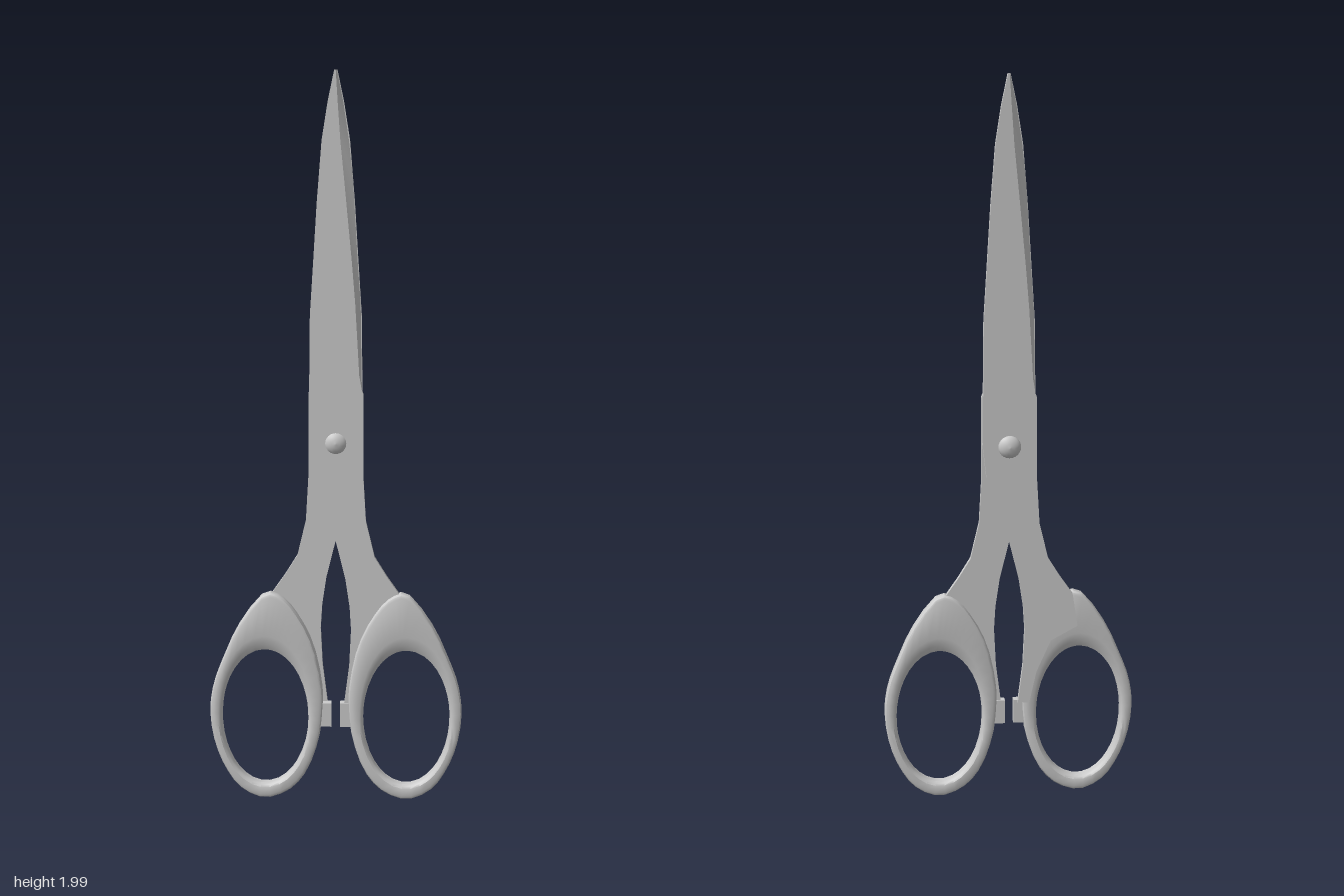
import * as THREE from 'three';
import { toCreasedNormals } from 'three/addons/utils/BufferGeometryUtils.js';

const material = new THREE.MeshStandardMaterial({ color: 0xcccccc });
const THICK = 0.016;

// Skin through rows of points; each row is a closed cross-section.
function loft(rows, closed) {
  const m = rows[0].length, n = rows.length, index = [];
  for (let i = 0; i < (closed ? n : n - 1); i++) {
    for (let j = 0; j < m; j++) {
      const a = i * m + j, b = ((i + 1) % n) * m + j;
      const c = ((i + 1) % n) * m + (j + 1) % m, d = i * m + (j + 1) % m;
      index.push(a, b, c, a, c, d);
    }
  }
  const geo = new THREE.BufferGeometry();
  geo.setAttribute('position', new THREE.Float32BufferAttribute(rows.flat(2), 3));
  geo.setIndex(index);
  return toCreasedNormals(geo, 0.6);
}

function part(name, geo) {
  const mesh = new THREE.Mesh(geo, material);
  mesh.name = name;
  return mesh;
}

// Ground edge of the blade: height, start of bevel, cutting edge
const EDGE = [
  [1.16, 0.07, 0.07], [1.2, 0.063, 0.069], [1.39, 0.052, 0.066], [1.5, 0.043, 0.058],
  [1.72, 0.022, 0.045], [1.82, 0.012, 0.034], [1.92, 0.005, 0.019], [2, 0, 0.003],
];

// Flat blade and shank in one plate, with the bevel added along its edge
function makeBlade() {
  const group = new THREE.Group();
  group.name = 'blade';
  const spine = [
    [-0.004, 2], [-0.021, 1.92], [-0.037, 1.82], [-0.05, 1.66], [-0.06, 1.5], [-0.069, 1.36],
    [-0.073, 1.02], [-0.063, 0.93], [-0.042, 0.855], [0, 0.745],
  ];
  const shank = [
    [0.026, 0.64], [0.038, 0.56], [0.042, 0.495], [0.037, 0.39], [0.023, 0.28], [0.055, 0.28],
    [0.075, 0.37], [0.115, 0.46], [0.19, 0.5], [0.175, 0.595], [0.14, 0.645],
    [0.106, 0.7], [0.082, 0.8], [0.075, 0.92], [0.074, 1.15],
  ];
  const outline = [...spine, ...shank, ...EDGE.map(([y, xb]) => [xb, y])];
  const shape = new THREE.Shape(outline.map(([x, y]) => new THREE.Vector2(x, y)));
  group.add(part('bladePlate', new THREE.ExtrudeGeometry(shape, { depth: THICK, bevelEnabled: false })));
  const rows = EDGE.map(([y, xb, xr]) => [[xr, y, 0.003], [xb, y, THICK], [xb, y, 0], [xr, y, 0]]);
  group.add(part('cuttingEdge', loft(rows, false)));
  return group;
}

// Finger ring: rounded band between an outer outline and an oval hole
function makeHandle() {
  const group = new THREE.Group();
  group.name = 'handle';
  const outer = new THREE.CatmullRomCurve3([
    [0.349, 0.257], [0.339, 0.336], [0.31, 0.415], [0.265, 0.51], [0.19, 0.598], [0.148, 0.585],
    [0.106, 0.537], [0.063, 0.452], [0.038, 0.336], [0.036, 0.27], [0.048, 0.177], [0.085, 0.08],
    [0.132, 0.029], [0.2, 0.006], [0.265, 0.035], [0.306, 0.09], [0.336, 0.165],
  ].map(([x, y]) => new THREE.Vector3(x, y, 0)), true);
  const cx = 0.196, cy = 0.243, rx = 0.12, ry = 0.194, h = 0.0205;
  const rows = outer.getPoints(40).slice(0, 40).map((p) => {
    const a = Math.atan2((p.y - cy) / ry, (p.x - cx) / rx);
    const ix = cx + rx * Math.cos(a), iy = cy + ry * Math.sin(a);
    const w = Math.hypot(ix - p.x, iy - p.y);
    // wider slope into the hole at the top
    const slope = 0.01 + 0.03 * Math.max(0, Math.sin(a)) ** 2;
    const half = [
      [0, h - 0.01], [0.004, h - 0.003], [0.011, h],
      [w - slope, h], [w - slope * 0.4, h - 0.004], [w, h - 0.011],
    ];
    const section = [...half, ...half.map(([u, z]) => [u, -z]).reverse()];
    return section.map(([u, z]) => [p.x + (ix - p.x) * u / w, p.y + (iy - p.y) * u / w, z]);
  });
  group.add(part('fingerRing', loft(rows, true)));
  // small stop block facing the other handle
  const stop = part('stop', new THREE.BoxGeometry(0.036, 0.068, 0.024));
  stop.position.set(0.03, 0.25, 0);
  group.add(stop);
  return group;
}

export function createModel() {
  const model = new THREE.Group();
  model.name = 'scissors';

  // two identical halves, turned half a turn about the vertical axis
  [0, 1].forEach((i) => {
    const blade = makeBlade();
    blade.name = i ? 'backBlade' : 'frontBlade';
    blade.rotation.y = i * Math.PI;
    const handle = makeHandle();
    handle.name = i ? 'rightHandle' : 'leftHandle';
    handle.rotation.y = i * Math.PI;
    handle.position.z = 0.0075;
    model.add(blade, handle);
  });

  // pivot rivet, domed on both faces
  const dome = [[0, 0.03], [0.011, 0.0285], [0.021, 0.0245], [0.028, 0.019], [0.031, 0.014]];
  const profile = [...dome.map(([r, z]) => [r, -z]), ...dome.slice().reverse()];
  const rivet = part('rivet', new THREE.LatheGeometry(profile.map(([r, z]) => new THREE.Vector2(r, z)), 24));
  rivet.rotation.x = Math.PI / 2;
  rivet.position.set(0, 1.015, -0.002);
  model.add(rivet);
  return model;
}
